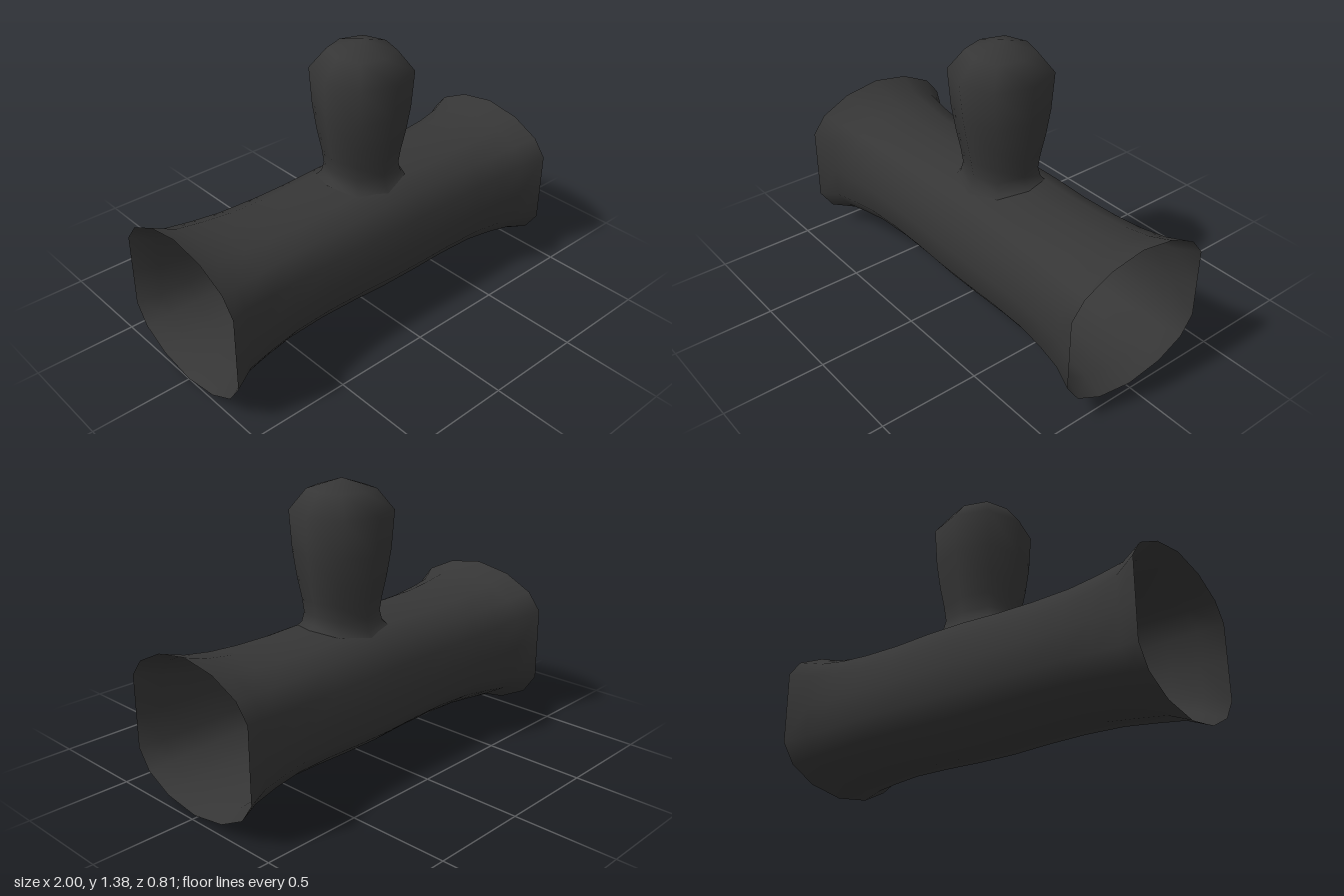
import * as THREE from 'three';
import { mergeVertices } from 'three/addons/utils/BufferGeometryUtils.js';

// Half cross-sections from top to bottom as [z, y], unit size
const ROUND = [[0, 1], [.45, .93], [.76, .77], [.94, .43], [1, .03], [.97, -.4], [.78, -.67], [.47, -.93], [0, -1]];
const RIM = [[0, 1], [.46, .92], [.83, .73], [1, .5], [1, 0], [1, -.47], [.83, -.73], [.48, -.92], [0, -1]];

// Joins closed rings of points into one smooth skin
function loft(rings) {
  const n = rings[0].length, index = [];
  for (let r = 0; r < rings.length - 1; r++) {
    for (let i = 0; i < n; i++) {
      const a = r * n + i, b = r * n + (i + 1) % n;
      index.push(a, b, a + n, b, b + n, a + n);
    }
  }
  const geo = new THREE.BufferGeometry();
  geo.setAttribute('position', new THREE.Float32BufferAttribute(rings.flat(2), 3));
  geo.setIndex(index);
  const merged = mergeVertices(geo, 1e-5);
  merged.computeVertexNormals();
  return merged;
}

// Ring of the tube: full loop, blended from round to the squarer rim
function tubeRing([x, top, bottom, half, rim]) {
  const mid = (top + bottom) / 2, h = (top - bottom) / 2;
  const point = (i, side) => {
    const z = THREE.MathUtils.lerp(ROUND[i][0], RIM[i][0], rim);
    const y = THREE.MathUtils.lerp(ROUND[i][1], RIM[i][1], rim);
    const tilt = x > 0.99 ? (y - 1) * 0.005 : 0;
    return [x + tilt, mid + y * h, side * z * half - 0.006];
  };
  const ring = [];
  for (let i = 0; i < 9; i++) ring.push(point(i, 1));
  for (let i = 7; i > 0; i--) ring.push(point(i, -1));
  return ring;
}

// Height of the tube's upper surface under the knob
function surfaceY(z) {
  const a = Math.abs(z + 0.006) / 0.325;
  const i = a < ROUND[1][0] ? 0 : 1;
  const t = (a - ROUND[i][0]) / (ROUND[i + 1][0] - ROUND[i][0]);
  return 0.3875 + 0.3125 * THREE.MathUtils.lerp(ROUND[i][1], ROUND[i + 1][1], t);
}

// Eight-sided ring of the knob; drape pulls it down onto the tube
function knobRing([y, rx, rz, drape]) {
  const ring = [];
  for (let i = 0; i < 8; i++) {
    const a = i * Math.PI / 4, k = i % 2 ? 1.06 : 1;
    const x = 0.068 + Math.sin(a) * rx * k;
    const z = -0.005 + Math.cos(a) * rz * k;
    ring.push([x, y + drape * (surfaceY(z) - 0.7), z]);
  }
  return ring;
}

export function createModel() {
  const model = new THREE.Group();
  const charcoal = new THREE.MeshStandardMaterial({ color: 0x363636, side: THREE.DoubleSide });
  charcoal.name = 'charcoal';

  // Open sleeve with flared ends: x, top, bottom, half width, rim blend
  const tube = new THREE.Mesh(loft([
    [-1, .775, .005, .403, 1],
    [-.89, .725, .05, .355, .7],
    [-.75, .705, .068, .338, .4],
    [-.6, .69, .085, .325, .15],
    [-.4, .686, .09, .32, 0],
    [-.2, .69, .085, .32, 0],
    [0, .7, .075, .325, 0],
    [.2, .7, .075, .325, 0],
    [.4, .692, .08, .323, 0],
    [.6, .695, .08, .325, .15],
    [.75, .705, .066, .335, .4],
    [.88, .725, .05, .353, .7],
    [1, .762, .022, .39, 1],
  ].map(tubeRing)), charcoal);
  tube.name = 'openTube';
  model.add(tube);

  // Knob rising from the tube: y, x radius, z radius, drape
  const knob = new THREE.Mesh(loft([
    [.695, .215, .2, 1],
    [.715, .187, .176, 1],
    [.755, .177, .162, .6],
    [.82, .185, .174, .2],
    [.92, .205, .195, 0],
    [1.05, .22, .218, 0],
    [1.235, .226, .237, 0],
    [1.335, .152, .155, 0],
    [1.385, 0, 0, 0],
  ].map(knobRing)), charcoal);
  knob.name = 'knob';
  model.add(knob);

  return model;
}
